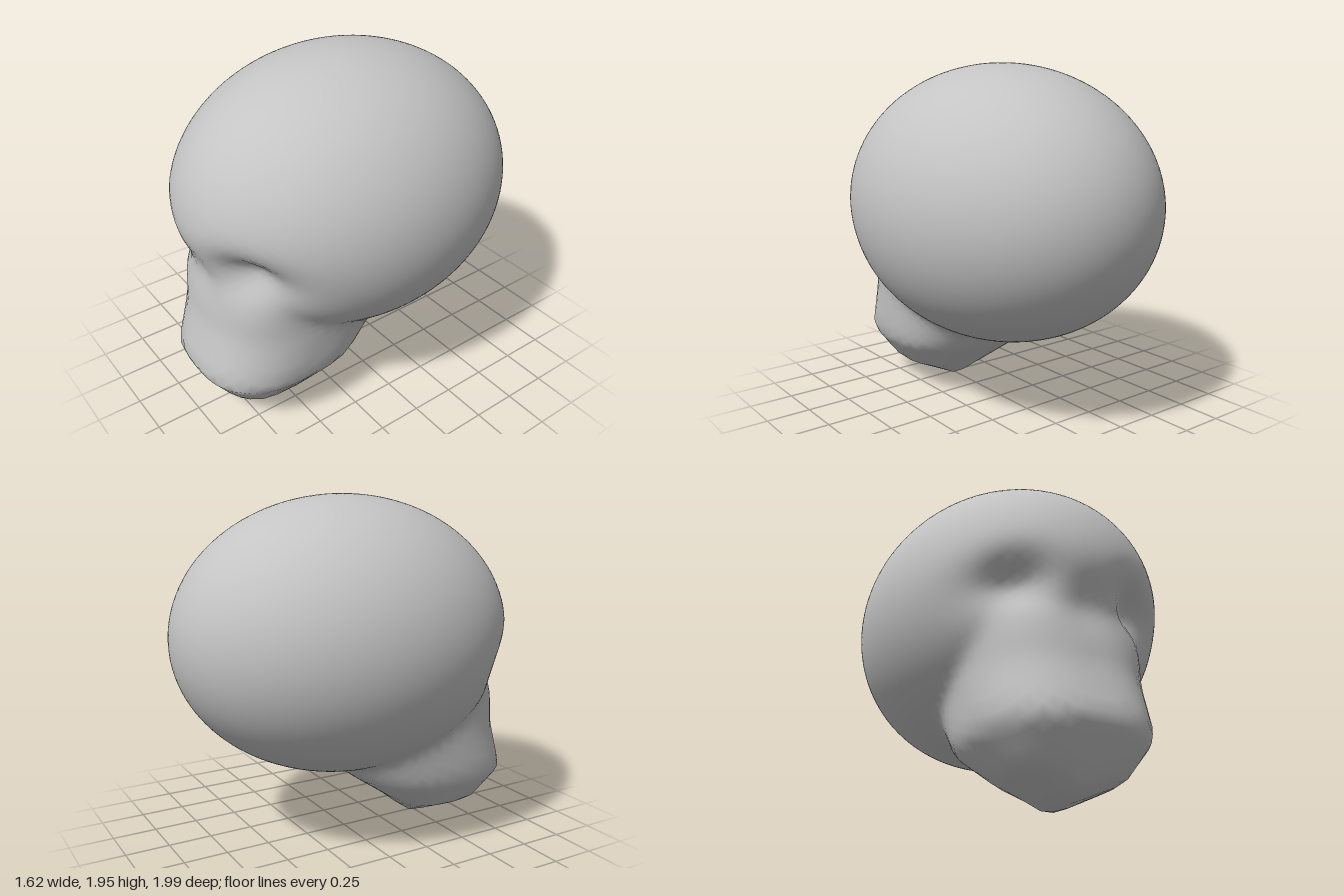
import * as THREE from 'three';
import { mergeVertices } from 'three/addons/utils/BufferGeometryUtils.js';

const CENTER = new THREE.Vector3(0, 1.175, -0.015);
const RADII = [0.81, 0.775, 0.983];

// Jaw cross-sections: height, half width, front z, back z
const JAW = [
  [0.0, 0.03, 0.77, 0.45],
  [0.13, 0.30, 0.87, 0.30],
  [0.32, 0.45, 1.0, 0.03],
  [0.61, 0.47, 0.92, -0.2],
  [0.9, 0.47, 0.89, 0.0],
  [1.0, 0.32, 0.82, 0.1],
  [1.1, 0.2, 0.65, 0.2],
];

// Below 1 inside the jaw, above 1 outside
function jawField(x, y, z) {
  const i = JAW.findIndex((row) => row[0] > y);
  if (i < 1) return 9;
  const a = JAW[i - 1], b = JAW[i];
  const t = (y - a[0]) / (b[0] - a[0]);
  const [w, front, back] = [1, 2, 3].map((k) => THREE.MathUtils.lerp(a[k], b[k], t));
  const mid = (front + back) / 2, depth = (front - back) / 2;
  const sum = Math.abs(x / w) ** 2.6 + Math.abs((z - mid) / depth) ** 2.6;
  return sum ** (1 / 2.6);
}

// Cranium and jaw blended softly where they meet
function headField(x, y, z) {
  const cranium = Math.hypot(x / RADII[0], (y - CENTER.y) / RADII[1], (z - CENTER.z) / RADII[2]);
  const jaw = jawField(x, y, z);
  const k = 0.06;
  const h = Math.max(k - Math.abs(cranium - jaw), 0) / k;
  return Math.min(cranium, jaw) - h * h * k / 4;
}

// Distance from the centre to the surface along a direction
function surfaceDistance(d) {
  const outside = (t) =>
    headField(CENTER.x + d.x * t, CENTER.y + d.y * t, CENTER.z + d.z * t) > 1;
  let t = 1.6;
  while (t > 0.5 && outside(t)) t -= 0.02;
  let lo = t, hi = t + 0.02;
  for (let i = 0; i < 10; i++) {
    const m = (lo + hi) / 2;
    if (outside(m)) hi = m; else lo = m;
  }
  return lo;
}

// Soft hollow in the face
function hollow(p, x, y, sx, sy, depth) {
  if (p.z < 0.3) return 0;
  return depth * Math.exp(-(((p.x - x) / sx) ** 2) - ((p.y - y) / sy) ** 2);
}

export function createModel() {
  const group = new THREE.Group();
  group.name = 'head';
  const bone = new THREE.MeshStandardMaterial({ color: 0xc4c4c4 });
  bone.name = 'bone grey';

  let geometry = new THREE.IcosahedronGeometry(1, 22);
  geometry.deleteAttribute('normal');
  geometry.deleteAttribute('uv');
  geometry = mergeVertices(geometry, 1e-4);

  const pos = geometry.attributes.position;
  const d = new THREE.Vector3(), p = new THREE.Vector3();
  for (let i = 0; i < pos.count; i++) {
    d.fromBufferAttribute(pos, i).normalize();
    p.copy(CENTER).addScaledVector(d, surfaceDistance(d));
    // Eye sockets and nose bridge
    const dent = hollow(p, 0.36, 1.02, 0.17, 0.13, 0.13)
      + hollow(p, -0.36, 1.02, 0.17, 0.13, 0.13)
      + hollow(p, 0, 0.96, 0.15, 0.14, 0.04);
    p.addScaledVector(d, -dent);
    pos.setXYZ(i, p.x, Math.max(p.y, 0), p.z);
  }
  geometry.computeVertexNormals();

  const skull = new THREE.Mesh(geometry, bone);
  skull.name = 'skull';
  group.add(skull);
  return group;
}
